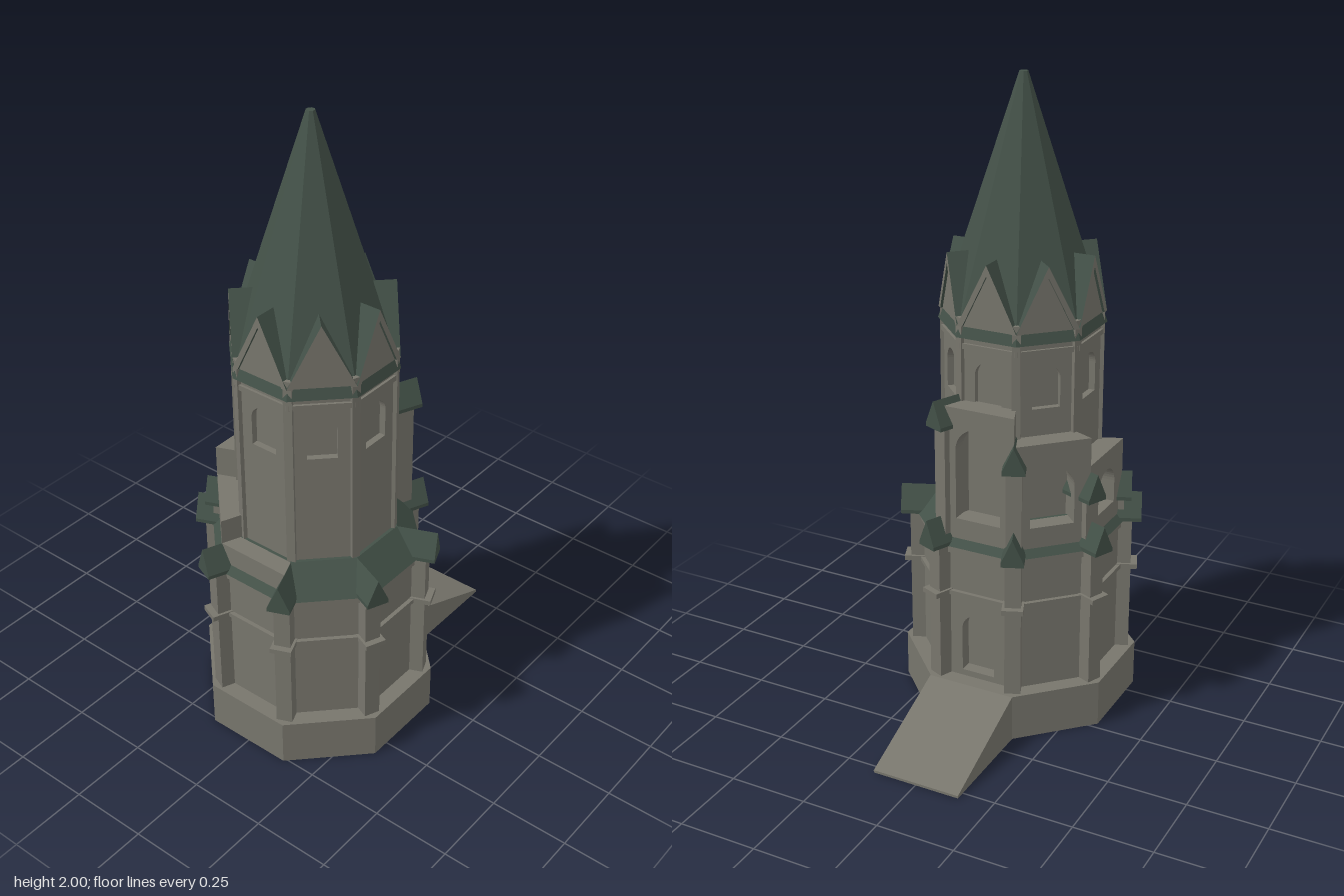
import * as THREE from 'three';

const stone = new THREE.MeshStandardMaterial({ color: 0x77756c, flatShading: true });
const slate = new THREE.MeshStandardMaterial({ color: 0x435148, flatShading: true });
const STEP = Math.PI / 4;
const COS = Math.cos(Math.PI / 8), TAN = Math.tan(Math.PI / 8);

export function createModel() {
  const model = new THREE.Group();
  model.name = 'tower';
  const tower = new THREE.Group();
  tower.name = 'octagonalTower';
  tower.position.z = 0.165;
  model.add(tower);

  const add = (name, geo, mat, k = 0) => {
    const m = new THREE.Mesh(geo, mat);
    m.name = name;
    m.rotation.y = k * STEP; // k counts faces from the front; halves are corners
    tower.add(m);
    return m;
  };

  // eight-sided frustum with a flat side to the front; sizes are apothems
  const octagon = (name, bottom, top, y0, y1, mat) => {
    const g = new THREE.CylinderGeometry(top / COS, bottom / COS, y1 - y0, 8);
    g.rotateY(Math.PI / 8).translate(0, (y0 + y1) / 2, 0);
    return add(name, g, mat);
  };

  // box reaching from radius r0 to r1 on face or corner k
  const block = (name, k, w, y0, y1, r0, r1, mat) =>
    add(name, new THREE.BoxGeometry(w, y1 - y0, r1 - r0).translate(0, (y0 + y1) / 2, (r0 + r1) / 2), mat, k);

  const extrude = (shape, r0, r1) =>
    new THREE.ExtrudeGeometry(shape, { depth: r1 - r0, bevelEnabled: false, curveSegments: 10 }).translate(0, 0, r0);

  const polygon = (pts) => new THREE.Shape(pts.map(([x, y]) => new THREE.Vector2(x, y)));

  const archPath = ({ w, y0, y1 }) => {
    const p = new THREE.Path();
    p.moveTo(-w, y0);
    p.lineTo(w, y0);
    p.lineTo(w, y1 - w);
    p.absarc(0, y1 - w, w, 0, Math.PI, false);
    p.lineTo(-w, y0);
    return p;
  };

  // mitred wall panel with arched openings
  const panel = (name, k, y0, y1, r0, r1, arches = []) => {
    const h = r1 * TAN;
    const s = polygon([[-h, y0], [h, y0], [h, y1], [-h, y1]]);
    s.holes = arches.map(archPath);
    const g = extrude(s, r0, r1);
    const p = g.attributes.position;
    for (let i = 0; i < p.count; i++) {
      if (Math.abs(p.getX(i)) > h - 1e-4) p.setX(i, p.getX(i) * p.getZ(i) / r1);
    }
    g.computeVertexNormals();
    add(name, g, stone, k);
  };

  // small pitched roof with its ridge pointing outwards
  const cap = (name, k, y0, y1, r0, r1) =>
    add(name, extrude(polygon([[-0.035, y0], [0.035, y0], [0.035, y0 + 0.012], [0, y1], [-0.035, y0 + 0.012]]), r0, r1), slate, k);

  // plinth, cores and lower roof
  octagon('plinth', 0.345, 0.345, 0, 0.15, stone);
  octagon('lowerCore', 0.255, 0.255, 0.15, 0.6, stone);
  octagon('stringCourse', 0.308, 0.308, 0.433, 0.447, stone);
  octagon('eaveCornice', 0.303, 0.303, 0.575, 0.6, stone);
  octagon('lowerRoof', 0.312, 0.235, 0.6, 0.69, slate);
  octagon('upperCore', 0.205, 0.205, 0.6, 1.3, stone);

  // spire
  octagon('spire', 0.238, 0.012, 1.25, 2, slate);

  for (let k = 0; k < 8; k++) {
    // lower walls, with the doorway at the back
    panel('lowerWall', k, 0.15, 0.6, 0.25, 0.295, k === 4 ? [{ w: 0.055, y0: 0.17, y1: 0.37 }] : []);

    // upper walls with arched niches
    const niches = [{ w: 0.044, y0: 1.045, y1: 1.18 }];
    if (k === 7) niches.push({ w: 0.044, y0: 0.775, y1: 0.94 });
    panel('upperWall', k, 0.6, 1.3, 0.2, 0.225, niches);
    block('upperCornice', k, 0.185, 1.215, 1.232, 0.2, 0.233, stone);

    // gable infill and projecting gable roof
    add('gableWall', extrude(polygon([[-0.092, 1.28], [0.092, 1.28], [0, 1.465]]), 0.1, 0.228), stone, k);
    add('gableRoof', extrude(polygon([
      [-0.098, 1.285], [-0.08, 1.285], [0, 1.448], [0.08, 1.285], [0.098, 1.285], [0, 1.482],
    ]), 0.1, 0.236), [stone, slate], k);

    // corner buttresses and pilasters
    const c = k + 0.5;
    block('buttress', c, 0.05, 0.15, 0.605, 0.26, 0.352, stone);
    block('buttressBand', c, 0.066, 0.433, 0.449, 0.26, 0.372, stone);
    cap('buttressCap', c, 0.6, 0.69, 0.235, 0.381);
    block('cornerPilaster', c, 0.026, 0.6, 1.31, 0.2, 0.25, stone);
  }

  // gallery walls climbing from the front, round the left, to the back
  [
    [0, 0.69], [7, 0.77],
    [6, 0.87, { w: 0.06, y0: 0.68, y1: 0.81 }],
    [5, 0.96, { w: 0.07, y0: 0.69, y1: 0.88 }],
    [4, 1.05, { w: 0.075, y0: 0.69, y1: 0.99 }],
  ].forEach(([k, top, arch]) => panel('galleryWall', k, 0.61, top, 0.215, 0.292, arch ? [arch] : []));

  // capped pinnacles between the gallery walls
  [[6.5, 0.76], [5.5, 0.85], [4.5, 0.97], [3.5, 1.07]].forEach(([c, top]) => {
    block('pinnacle', c, 0.048, 0.6, top - 0.08, 0.23, 0.325, stone);
    cap('pinnacleCap', c, top - 0.088, top, 0.23, 0.348);
  });

  // entrance ramp at the back
  const ramp = new THREE.Mesh(
    extrude(polygon([[0.16, 0], [0.53, 0], [0.53, 0.008], [0.18, 0.15], [0.16, 0.15]]), -0.144, 0.144).rotateY(Math.PI / 2),
    stone);
  ramp.name = 'ramp';
  model.add(ramp);

  return model;
}
